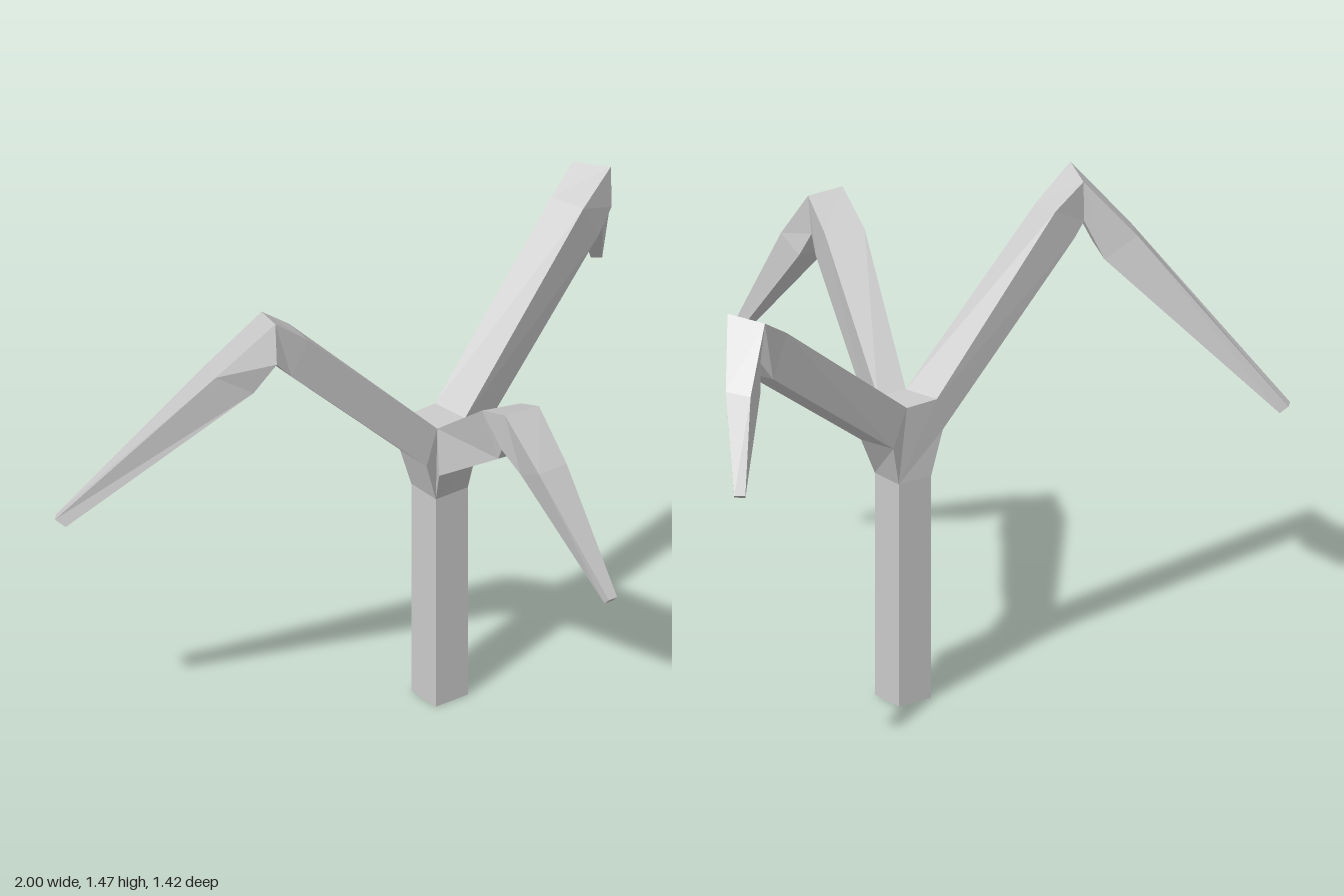
import * as THREE from 'three';

const material = new THREE.MeshStandardMaterial({ color: 0xcccccc, flatShading: true });

// Flat-shaded mesh from convex polygons, each fanned into triangles
function polyMesh(name, polys) {
  const pos = [];
  for (const p of polys)
    for (let i = 1; i < p.length - 1; i++) pos.push(...p[0], ...p[i], ...p[i + 1]);
  const g = new THREE.BufferGeometry();
  g.setAttribute('position', new THREE.Float32BufferAttribute(pos, 3));
  g.computeVertexNormals();
  const mesh = new THREE.Mesh(g, material);
  mesh.name = name;
  return mesh;
}

// Limb lofted through four-cornered rings (counter-clockwise seen from the tip), capped at the tip
function limb(name, rings) {
  const polys = [];
  for (let r = 0; r < rings.length - 1; r++)
    for (let i = 0; i < 4; i++) {
      const j = (i + 1) % 4;
      polys.push([rings[r][i], rings[r][j], rings[r + 1][j], rings[r + 1][i]]);
    }
  polys.push(rings[rings.length - 1]);
  return polyMesh(name, polys);
}

// Upper corners of the hub, shared by the three limbs
const topFrontLeft = [0.135, 0.91, -0.215], topFrontRight = [0.035, 0.91, -0.215];
const topBackLeft = [0.12, 0.91, -0.335], topBackRight = [0.01, 0.91, -0.33];

// Ring order along each limb: base, before elbow, elbow, after elbow, tip
const front = [
  [topFrontRight, [-0.02, 0.81, -0.135], [0.105, 0.81, -0.14], topFrontLeft],
  [[-0.14, 1.225, 0.22], [-0.165, 1.125, 0.33], [-0.055, 1.125, 0.34], [-0.025, 1.225, 0.255]],
  [[-0.18, 1.295, 0.38], [-0.18, 1.175, 0.365], [-0.07, 1.175, 0.38], [-0.065, 1.29, 0.39]],
  [[-0.15, 1.145, 0.5], [-0.145, 1.1, 0.41], [-0.055, 1.1, 0.42], [-0.05, 1.145, 0.5]],
  [[-0.06, 0.795, 0.71], [-0.06, 0.775, 0.69], [-0.03, 0.775, 0.69], [-0.03, 0.795, 0.71]],
];
const left = [
  [topFrontLeft, [0.22, 0.81, -0.25], [0.19, 0.81, -0.365], topBackLeft],
  [[0.7, 1.32, -0.395], [0.77, 1.2, -0.415], [0.735, 1.2, -0.525], [0.67, 1.32, -0.505]],
  [[0.83, 1.395, -0.435], [0.825, 1.27, -0.425], [0.78, 1.26, -0.525], [0.775, 1.385, -0.54]],
  [[0.925, 1.215, -0.555], [0.835, 1.2, -0.48], [0.79, 1.18, -0.54], [0.885, 1.21, -0.62]],
  [[0.995, 0.955, -0.69], [0.98, 0.94, -0.67], [0.955, 0.94, -0.69], [0.97, 0.955, -0.71]],
];
const right = [
  [topBackRight, [-0.015, 0.81, -0.325], [-0.015, 0.81, -0.2], topFrontRight],
  [[-0.43, 1.375, -0.305], [-0.5, 1.275, -0.3], [-0.51, 1.28, -0.19], [-0.44, 1.37, -0.2]],
  [[-0.525, 1.445, -0.31], [-0.535, 1.32, -0.3], [-0.57, 1.345, -0.18], [-0.56, 1.465, -0.2]],
  [[-0.65, 1.28, -0.4], [-0.57, 1.21, -0.35], [-0.6, 1.23, -0.25], [-0.69, 1.285, -0.31]],
  [[-0.975, 0.77, -0.685], [-0.955, 0.75, -0.67], [-0.98, 0.75, -0.635], [-1, 0.77, -0.66]],
];

export function createModel() {
  const group = new THREE.Group();
  group.name = 'threeArmedPost';

  // Square post
  const post = new THREE.Mesh(new THREE.BoxGeometry(0.115, 0.68, 0.115), material);
  post.position.set(0.0875, 0.34, -0.2725);
  post.name = 'post';
  group.add(post);

  // Faceted hub joining the post to the limbs
  const [fl, fr, bl, br] = [[0.03, -0.215], [0.145, -0.215], [0.03, -0.33], [0.145, -0.33]]
    .map(([x, z]) => [x, 0.68, z]);
  const [f, l, r] = [front[0], left[0], right[0]];
  group.add(polyMesh('hub', [
    [fl, fr, f[2], f[1]],
    [fr, l[1], topFrontLeft, f[2]],
    [fr, br, l[2], l[1]],
    [br, bl, r[1], topBackRight, topBackLeft, l[2]],
    [bl, fl, r[2], r[1]],
    [fl, f[1], topFrontRight, r[2]],
    [topFrontLeft, topBackLeft, topBackRight, topFrontRight],
  ]));

  // Bent, tapering limbs
  group.add(limb('frontLimb', front), limb('leftLimb', left), limb('rightLimb', right));
  return group;
}
